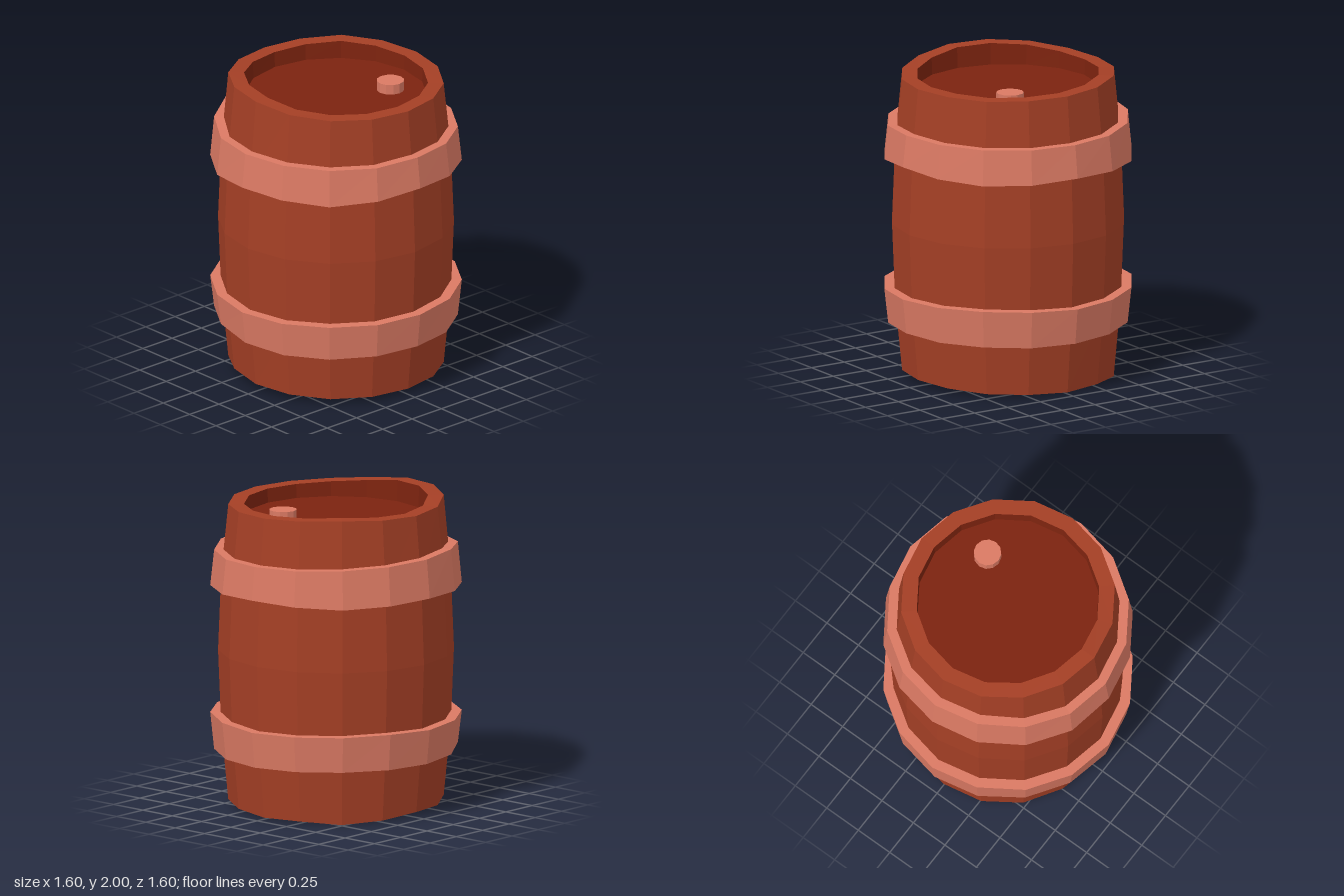
import * as THREE from 'three';

const SIDES = 16;
const wood = new THREE.MeshStandardMaterial({ color: 0xa43f25 });
wood.name = 'stave wood';
const band = new THREE.MeshStandardMaterial({ color: 0xda7963 });
band.name = 'hoop copper';
const dark = new THREE.MeshStandardMaterial({ color: 0x7c230f });
dark.name = 'dark lid wood';

// Faceted surface of revolution. Rows are [radius, height]; a height may be
// a list with one value per side, starting at the front and turning to +x.
function loft(name, material, rows, sides = SIDES) {
  const at = ([r, y], k) => {
    const a = (k % sides) / sides * Math.PI * 2;
    return [r * Math.sin(a), Array.isArray(y) ? y[k % sides] : y, r * Math.cos(a)];
  };
  const pos = [];
  for (let i = 0; i < rows.length - 1; i++) {
    const lo = rows[i], hi = rows[i + 1];
    for (let k = 0; k < sides; k++) {
      const a = at(lo, k), b = at(lo, k + 1), c = at(hi, k + 1), d = at(hi, k);
      if (lo[0] > 0) pos.push(...a, ...b, ...c);
      if (hi[0] > 0) pos.push(...a, ...c, ...d);
      else if (lo[0] > 0) continue;
    }
  }
  const geo = new THREE.BufferGeometry();
  geo.setAttribute('position', new THREE.Float32BufferAttribute(pos, 3));
  geo.computeVertexNormals();
  const mesh = new THREE.Mesh(geo, material);
  mesh.name = name;
  return mesh;
}

// Uneven, hand-cut edge heights
const rimTop = [1.995, 1.97, 1.955, 1.95, 1.95, 1.95, 1.945, 1.95,
  1.955, 1.965, 1.975, 1.965, 1.96, 1.97, 1.99, 2.0];
const rimBottom = [0.05, 0.045, 0.04, 0.04, 0.04, 0.035, 0.025, 0.02,
  0.01, 0.015, 0, 0.015, 0.035, 0.03, 0.04, 0.06];
const upperHoopTop = [1.66, 1.655, 1.65, 1.65, 1.66, 1.655, 1.65, 1.65,
  1.655, 1.66, 1.67, 1.68, 1.69, 1.70, 1.685, 1.66];
const upperHoopBottom = [1.435, 1.425, 1.41, 1.43, 1.455, 1.435, 1.42, 1.425,
  1.44, 1.43, 1.42, 1.43, 1.44, 1.43, 1.42, 1.41];
const lowerHoopTop = [0.575, 0.575, 0.58, 0.58, 0.585, 0.59, 0.595, 0.59,
  0.58, 0.585, 0.59, 0.595, 0.585, 0.59, 0.59, 0.585];
const lowerHoopBottom = [0.36, 0.35, 0.35, 0.355, 0.36, 0.355, 0.355, 0.35,
  0.35, 0.355, 0.36, 0.36, 0.36, 0.365, 0.38, 0.38];

export function createModel() {
  const barrel = new THREE.Group();
  barrel.name = 'barrel';

  // Bulging body with flat rims at both ends
  barrel.add(loft('staves', wood, [
    [0.585, rimBottom], [0.685, rimBottom], [0.73, 0.5], [0.75, 1],
    [0.73, 1.5], [0.685, rimTop], [0.585, rimTop],
  ]));

  // Recessed ends with their inner walls
  barrel.add(loft('lid', dark, [[0.585, rimTop], [0.58, 1.86], [0, 1.86]]));
  barrel.add(loft('base', dark, [[0, 0.14], [0.58, 0.14], [0.585, rimBottom]]));

  // Hoops, flaring toward the middle of the barrel
  const hoop = (name, bottom, top, rBottom, rTop) => barrel.add(loft(name, band, [
    [0.68, bottom], [rBottom, bottom], [rTop, top], [0.68, top],
  ]));
  hoop('upperHoop', upperHoopBottom, upperHoopTop, 0.8, 0.775);
  hoop('lowerHoop', lowerHoopBottom, lowerHoopTop, 0.775, 0.8);

  // Bung in the lid
  const bung = loft('bung', band, [[0.088, 1.85], [0.088, 1.925], [0, 1.925]], 12);
  bung.position.set(0.183, 0, -0.3);
  barrel.add(bung);

  return barrel;
}
